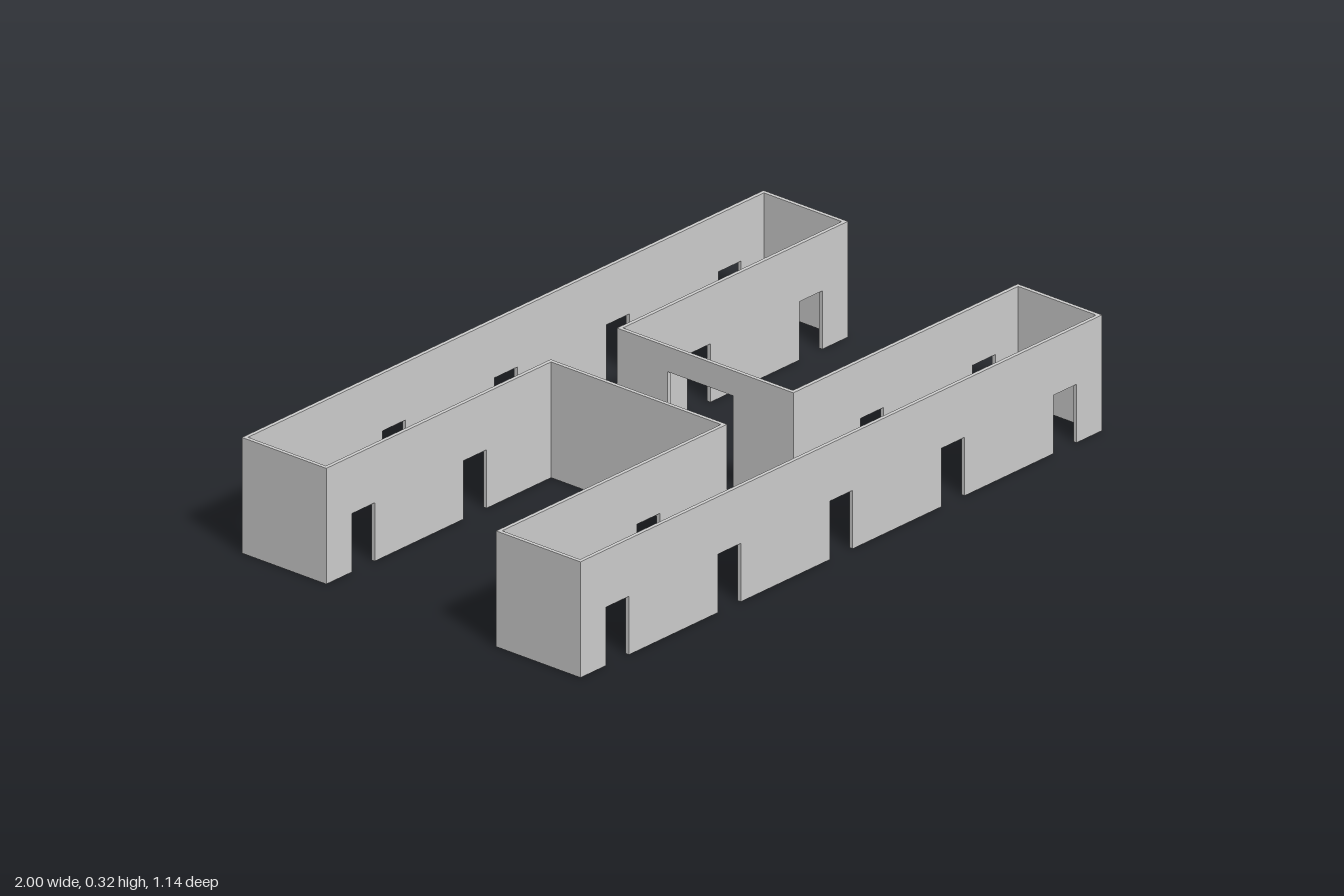
import * as THREE from 'three';

const HEIGHT = 0.323, T = 0.011;
const HALF_X = 1, OUTER_Z = 0.572, INNER_Z = 0.287, BAR_X = 0.138;
const OPENING = { width: 0.088, height: 0.163 };

export function createModel() {
  const model = new THREE.Group();
  const material = new THREE.MeshStandardMaterial({ color: 0xcccccc, flatShading: true });

  // Upright wall outline from a to b, with openings [from, to, height] cut up from the floor
  function wallGeometry(a, b, openings = []) {
    const shape = new THREE.Shape();
    shape.moveTo(a, 0);
    for (const [from, to, h] of openings) {
      shape.lineTo(from, 0);
      shape.lineTo(from, h);
      shape.lineTo(to, h);
      shape.lineTo(to, 0);
    }
    shape.lineTo(b, 0);
    shape.lineTo(b, HEIGHT);
    shape.lineTo(a, HEIGHT);
    shape.closePath();
    return new THREE.ExtrudeGeometry(shape, { depth: T, bevelEnabled: false });
  }

  function add(name, geometry) {
    const mesh = new THREE.Mesh(geometry, material);
    mesh.name = name;
    model.add(mesh);
  }

  // Wall along x, occupying z .. z + T
  function wallX(name, x0, x1, z, centres) {
    const cuts = centres.map((c) => [c - OPENING.width / 2, c + OPENING.width / 2, OPENING.height]);
    add(name, wallGeometry(x0, x1, cuts).translate(0, 0, z));
  }

  // Wall along z, occupying x .. x + T (the outline runs towards -z)
  function wallZ(name, z0, z1, x, cuts = []) {
    add(name, wallGeometry(-z1, -z0, cuts).rotateY(Math.PI / 2).translate(x, 0, 0));
  }

  // Two long wings, front and back
  for (const s of [1, -1]) {
    const wing = s > 0 ? 'front' : 'back';
    const outer = s > 0 ? OUTER_Z - T : -OUTER_Z;
    const inner = s > 0 ? INNER_Z : -INNER_Z - T;
    wallX(`${wing}OuterWall`, -HALF_X, HALF_X, outer, [-0.858, -0.429, 0, 0.429, 0.858]);
    wallX(`${wing}InnerWallLeft`, BAR_X, HALF_X, inner, [0.429, 0.858]);
    wallX(`${wing}InnerWallRight`, -HALF_X, -BAR_X, inner, [-0.858, -0.429]);

    // End walls fit between the inner and outer walls
    const near = INNER_Z + T, far = OUTER_Z - T;
    const [z0, z1] = s > 0 ? [near, far] : [-far, -near];
    wallZ(`${wing}EndWallLeft`, z0, z1, HALF_X - T);
    wallZ(`${wing}EndWallRight`, z0, z1, -HALF_X);
  }

  // Connecting corridor, with a tall doorway on its left side only
  const end = INNER_Z + T;
  wallZ('corridorWallLeft', -end, end, BAR_X - T, [[-0.094, 0.127, 0.253]]);
  wallZ('corridorWallRight', -end, end, -BAR_X);

  return model;
}
